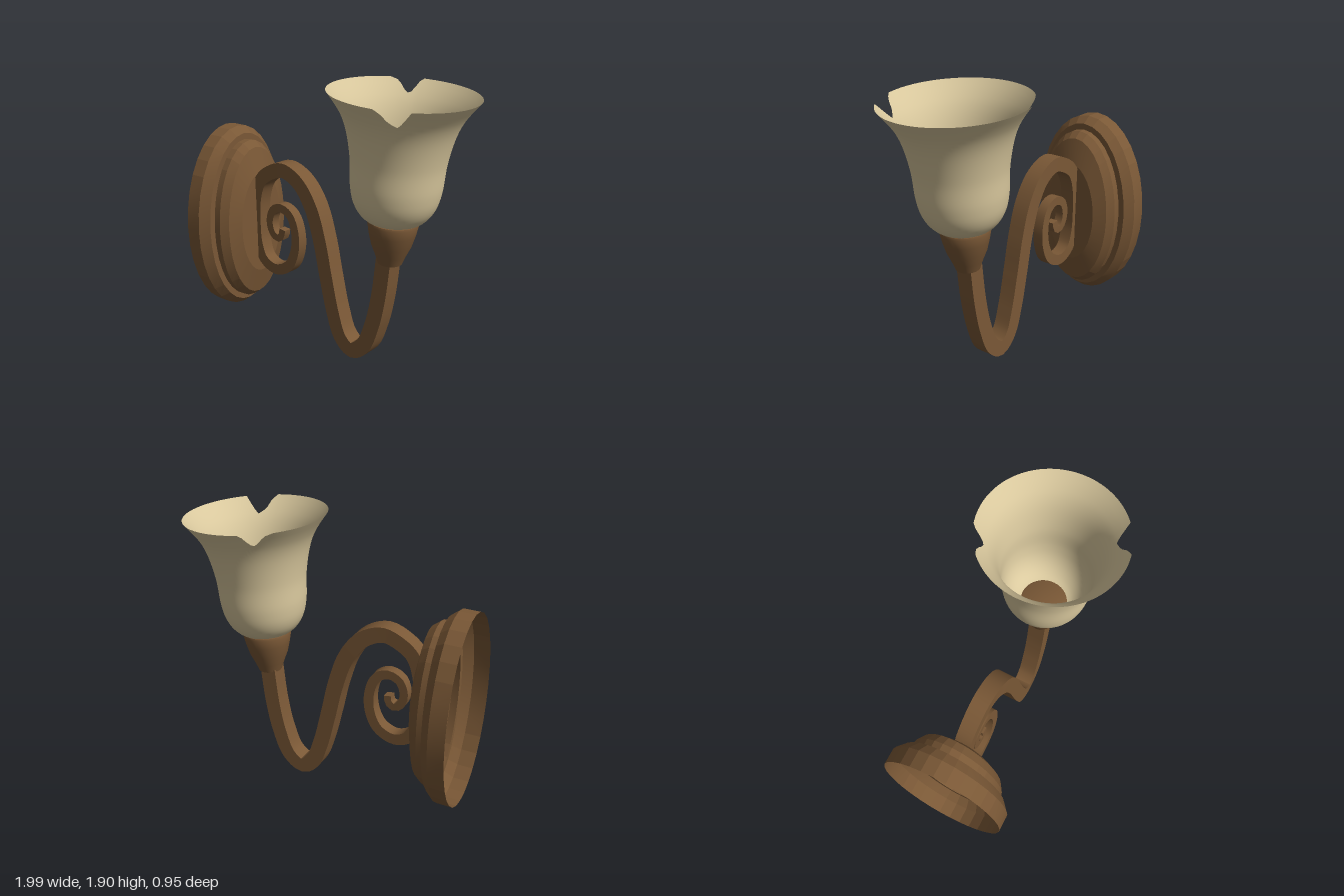
import * as THREE from 'three';
import { mergeVertices, toCreasedNormals } from 'three/addons/utils/BufferGeometryUtils.js';

const V = (x, y, z) => new THREE.Vector3(x, y, z);

// Skin a list of closed rings (each the same number of points)
function loft(rings, crease) {
  const n = rings[0].length, index = [];
  for (let i = 0; i < rings.length - 1; i++) {
    for (let j = 0; j < n; j++) {
      const a = i * n + j, b = i * n + (j + 1) % n;
      index.push(a, b, a + n, b, b + n, a + n);
    }
  }
  const geometry = new THREE.BufferGeometry().setFromPoints(rings.flat());
  geometry.setIndex(index);
  return toCreasedNormals(geometry, crease);
}

// Piecewise-linear lookup in [key, value] pairs, zero outside their range
function lookup(pairs, k) {
  for (let i = 1; i < pairs.length; i++) {
    const [k0, v0] = pairs[i - 1], [k1, v1] = pairs[i];
    if (k >= k0 && k <= k1) return v0 + (v1 - v0) * (k - k0) / (k1 - k0);
  }
  return 0;
}

// Stepped oval plate, open at the wall side
function plateGeometry() {
  const steps = [ // x, half height, half width
    [-1, 0.682, 0.422], [-0.89, 0.682, 0.422], [-0.83, 0.635, 0.368], [-0.83, 0.592, 0.325],
    [-0.78, 0.592, 0.325], [-0.725, 0.55, 0.288], [-0.682, 0.37, 0.2], [-0.68, 0, 0],
  ];
  const sides = 32;
  return loft(steps.map(([x, ry, rz]) => Array.from({ length: sides }, (_, j) => {
    const a = j / sides * Math.PI * 2;
    return V(x, 0.793 + ry * Math.cos(a), rz * Math.sin(a));
  })), 0.15);
}

// S-shaped arm of square section that ends in a tapering scroll
function armGeometry() {
  const path = new THREE.CatmullRomCurve3([
    [0.435, 0.8], [0.4, 0.52], [0.35, 0.3], [0.275, 0.125], [0.175, 0.062], [0.085, 0.13],
    [0.02, 0.3], [-0.04, 0.55], [-0.095, 0.8], [-0.17, 1.02], [-0.28, 1.17], [-0.42, 1.235],
    [-0.53, 1.205], [-0.63, 1.13], [-0.68, 1.0], [-0.692, 0.8], [-0.68, 0.65], [-0.63, 0.53],
    [-0.52, 0.48], [-0.4, 0.53], [-0.337, 0.66], [-0.335, 0.8], [-0.38, 0.91], [-0.46, 0.95],
    [-0.54, 0.92], [-0.575, 0.83], [-0.555, 0.75], [-0.51, 0.717], [-0.468, 0.74], [-0.46, 0.79],
  ].map(([x, y]) => V(x, y, 0)));
  path.arcLengthDivisions = 1000;
  const count = 140, rings = [];
  for (let i = 0; i <= count; i++) {
    const u = i / count, p = path.getPointAt(u), t = path.getTangentAt(u);
    const taper = THREE.MathUtils.clamp((u - 0.45) / 0.55, 0, 1);
    const w = 0.056 - 0.03 * taper, d = 0.061 - 0.032 * taper;
    const ring = [[1, -1], [1, 1], [-1, 1], [-1, -1]]
      .map(([s, k]) => V(p.x - t.y * w * s, p.y + t.x * w * s, d * k));
    // Ends close onto the centre line
    const cap = ring.map(() => p.clone());
    if (i === 0) rings.push(cap);
    rings.push(ring);
    if (i === count) rings.push(cap);
  }
  return loft(rings, 0.6);
}

// Bell shade with two chips broken out of the rim
function shadeGeometry() {
  const RIM = 1.112, START = 0.88;
  const curve = new THREE.CatmullRomCurve3([
    [0.135, 0.285], [0.185, 0.305], [0.235, 0.355], [0.27, 0.425], [0.29, 0.52], [0.303, 0.7],
    [0.34, 0.88], [0.375, 0.97], [0.415, 1.035], [0.473, RIM],
  ].map(([r, y]) => V(r, y, 0)));
  const profile = curve.getSpacedPoints(36);
  const radii = profile.map(p => [p.y, p.x]);
  const chips = [
    [[0.21, 0], [0.3, 0.03], [0.38, 0.08], [0.52, 0.112], [0.6, 0.075], [0.68, 0]],
    [[-2.8, 0], [-2.74, 0.045], [-2.68, 0.08], [-2.6, 0.09], [-2.48, 0.02], [-2.36, 0]],
  ];
  let geometry = new THREE.LatheGeometry(profile.map(p => new THREE.Vector2(p.x, p.y)), 120);
  const pos = geometry.attributes.position;
  for (let i = 0; i < pos.count; i++) {
    const y = pos.getY(i);
    if (y <= START) continue;
    // Slide the upper rows down the bell where the rim is chipped
    const a = Math.atan2(pos.getX(i), pos.getZ(i));
    const depth = lookup(chips[0], a) + lookup(chips[1], a);
    if (depth === 0) continue;
    const low = START + (y - START) * (RIM - depth - START) / (RIM - START);
    const r = lookup(radii, low);
    pos.setXYZ(i, r * Math.sin(a), low, r * Math.cos(a));
  }
  geometry.deleteAttribute('uv');
  geometry.deleteAttribute('normal');
  geometry = mergeVertices(geometry, 1e-5);
  geometry.computeVertexNormals();
  return geometry;
}

// Turned cup that holds the shade
function cupGeometry() {
  const points = [
    [0, 0], [0.08, 0], [0.102, 0.06], [0.132, 0.13], [0.153, 0.21], [0.166, 0.275],
    [0.162, 0.29], [0.145, 0.298], [0, 0.298],
  ].map(([r, y]) => new THREE.Vector2(r, y));
  return toCreasedNormals(new THREE.LatheGeometry(points, 32), 0.6);
}

export function createModel() {
  const model = new THREE.Group();
  model.name = 'wallLamp';
  const brown = new THREE.MeshStandardMaterial({ color: 0x7a5836, side: THREE.DoubleSide });
  const cream = new THREE.MeshStandardMaterial({ color: 0xdac99e, side: THREE.DoubleSide });
  const add = (parent, name, geometry, material) => {
    const mesh = new THREE.Mesh(geometry, material);
    mesh.name = name;
    parent.add(mesh);
  };

  add(model, 'wallPlate', plateGeometry(), brown);
  add(model, 'scrollArm', armGeometry(), brown);

  // Cup and shade lean slightly outward together
  const head = new THREE.Group();
  head.name = 'lampHead';
  head.position.set(0.445, 0.765, 0);
  head.rotation.z = -0.068;
  add(head, 'shadeCup', cupGeometry(), brown);
  add(head, 'shade', shadeGeometry(), cream);
  model.add(head);
  return model;
}
